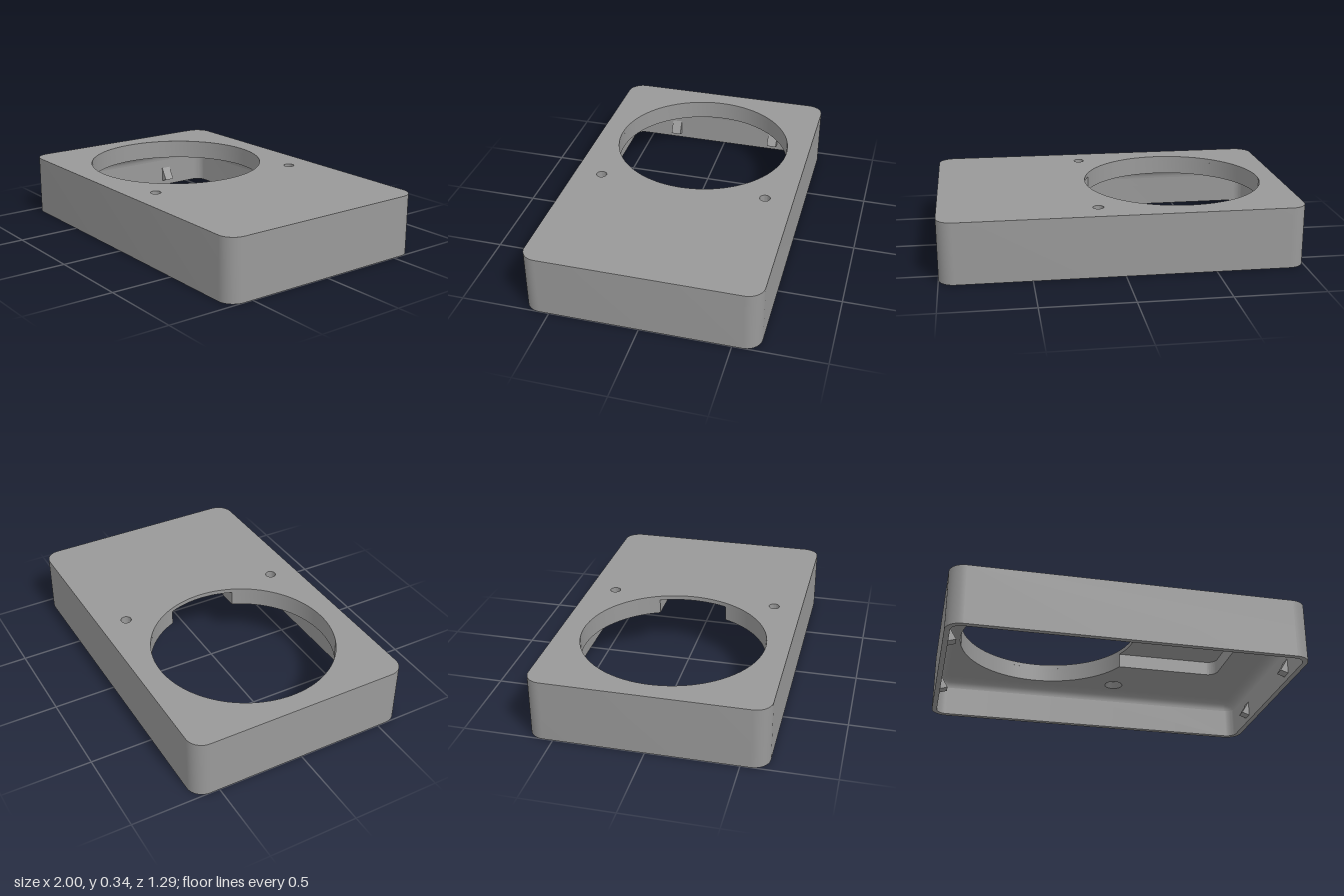
import * as THREE from 'three';
import { toCreasedNormals } from 'three/addons/utils/BufferGeometryUtils.js';

const HX = 1, HZ = 0.645, H = 0.345; // half length, half width, height
const R = 0.09, WALL = 0.03;         // outer corner radius, wall thickness
const CEIL = 0.235, ROOF = 0.32;     // underside of the top, roof of the pocket
const HOLE = { x: -0.37, r: 0.515 };
const SCREW = { x: 0.13, z: 0.485, r: 0.03, sink: 0.055 };

// Rounded rectangle, shrunk by an inset
function outline(inset, steps = 10) {
  const pts = [];
  const r = Math.max(R - inset, 0.0005);
  [[1, 1], [-1, 1], [-1, -1], [1, -1]].forEach(([sx, sy], i) => {
    for (let k = 0; k <= steps; k++) {
      const a = (i + k / steps) * Math.PI / 2;
      pts.push(new THREE.Vector2(sx * (HX - R) + r * Math.cos(a), sy * (HZ - R) + r * Math.sin(a)));
    }
  });
  return pts;
}

// Extrude a flat shape upward from y0 to y1
function slab(shape, y0, y1) {
  const g = new THREE.ExtrudeGeometry(shape, { depth: y1 - y0, bevelEnabled: false, curveSegments: 64 });
  g.rotateX(-Math.PI / 2);
  g.translate(0, y0, 0);
  return toCreasedNormals(g, 0.6);
}

function circle(x, y, r) {
  return new THREE.Path().absarc(x, y, r, 0, Math.PI * 2, true);
}

// Round opening joined to the pocket beside it
function openingWithPocket() {
  const w = 0.2, end = 0.72, c = 0.06;
  const a = Math.asin(w / HOLE.r);
  const p = new THREE.Path();
  p.absarc(HOLE.x, 0, HOLE.r, a, Math.PI * 2 - a, false);
  p.lineTo(end - c, -w);
  p.absarc(end - c, -w + c, c, -Math.PI / 2, 0, false);
  p.absarc(end - c, w - c, c, 0, Math.PI / 2, false);
  p.closePath();
  return p;
}

// Concave fillet between the inner walls and the ceiling
function filletGeometry() {
  const r = R - WALL, rows = 8, pos = [], idx = [];
  for (let j = 0; j <= rows; j++) {
    const t = j / rows * Math.PI / 2;
    const y = CEIL - r + r * Math.sin(t);
    outline(WALL + r * (1 - Math.cos(t))).forEach(p => pos.push(p.x, y, -p.y));
  }
  const n = pos.length / 3 / (rows + 1);
  for (let j = 0; j < rows; j++) {
    for (let i = 0; i < n; i++) {
      const a = j * n + i, b = j * n + (i + 1) % n;
      idx.push(a, a + n, b, b, a + n, b + n);
    }
  }
  const g = new THREE.BufferGeometry();
  g.setAttribute('position', new THREE.Float32BufferAttribute(pos, 3));
  g.setIndex(idx);
  g.computeVertexNormals();
  return g;
}

export function createModel() {
  const group = new THREE.Group();
  const grey = new THREE.MeshStandardMaterial({ color: 0x999999, side: THREE.DoubleSide });
  grey.name = 'grey plastic';
  const add = (name, geometry) => {
    const m = new THREE.Mesh(geometry, grey);
    m.name = name;
    group.add(m);
    return m;
  };

  // Outer wall
  const ring = new THREE.Shape(outline(0));
  ring.holes.push(new THREE.Path(outline(WALL).reverse()));
  add('outerWall', slab(ring, 0, H));

  // Top: thin upper skin and thicker lower layer with the pocket
  const skin = new THREE.Shape(outline(WALL));
  skin.holes.push(circle(HOLE.x, 0, HOLE.r));
  const lower = new THREE.Shape(outline(WALL));
  lower.holes.push(openingWithPocket());
  for (const s of [-1, 1]) {
    skin.holes.push(circle(SCREW.x, s * SCREW.z, SCREW.r));
    lower.holes.push(circle(SCREW.x, s * SCREW.z, SCREW.sink));
  }
  add('topSkin', slab(skin, ROOF, H));
  add('topLowerLayer', slab(lower, CEIL, ROOF));
  add('ceilingFillet', filletGeometry());

  // Countersunk screw holes
  const sink = [[SCREW.r, H], [SCREW.r, 0.27], [SCREW.sink, CEIL]].map(p => new THREE.Vector2(...p));
  for (const s of [-1, 1]) {
    add('screwHole', toCreasedNormals(new THREE.LatheGeometry(sink, 32), 0.5))
      .position.set(SCREW.x, 0, s * SCREW.z);
  }

  // Wedge-shaped snap clips inside both end walls
  const wedge = new THREE.Shape([[0, 0.03], [0.045, 0.045], [0, 0.12]].map(p => new THREE.Vector2(...p)));
  const clip = new THREE.ExtrudeGeometry(wedge, { depth: 0.06, bevelEnabled: false });
  clip.translate(0, 0, -0.03);
  for (const end of [-1, 1]) {
    for (const z of [-0.33, 0.33]) {
      const m = add('snapClip', clip);
      m.position.set(end * (HX - WALL), 0, z);
      m.rotation.y = end > 0 ? Math.PI : 0;
    }
  }
  return group;
}
